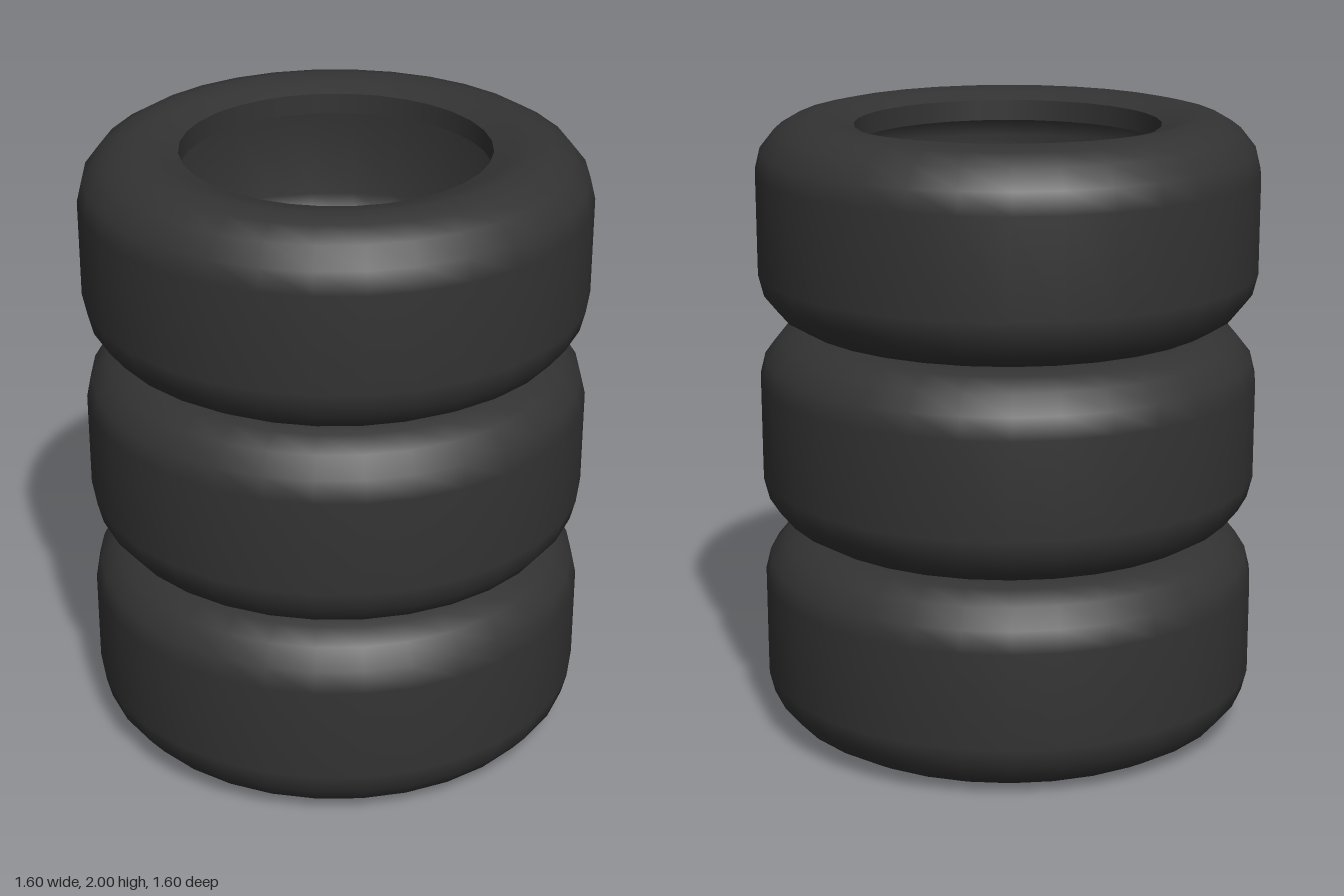
import * as THREE from 'three';

const SIDES = 32;
const HEIGHT = 2 / 3; // height of one tyre
const rubber = new THREE.MeshStandardMaterial({ color: 0x333333 });

// Lower halves of the cross-section, as [radius, y]
const outerHalf = [[0.485, 0.033], [0.55, 0.012], [0.61, 0], [0.675, 0.015], [0.735, 0.05], [0.783, 0.11], [0.8, 0.178]];
const linerHalf = [[0.485, 0.1], [0.57, 0.075], [0.64, 0.085], [0.7, 0.125], [0.73, 0.19]];

// Adds the upper half by mirroring about mid height; runs from bottom to top
function mirrored(half) {
  return [...half, ...half.map(([r, y]) => [r, HEIGHT - y]).reverse()];
}

function ring(name, profile) {
  const points = profile.map(([r, y]) => new THREE.Vector2(r, y));
  const mesh = new THREE.Mesh(new THREE.LatheGeometry(points, SIDES), rubber);
  mesh.name = name;
  return mesh;
}

function createTyre() {
  const tyre = new THREE.Group();
  const rimY = outerHalf[0][1];
  const lipY = linerHalf[0][1];
  const r = outerHalf[0][0];

  // Tread and side walls, rounded at the shoulders and dished towards the hole
  tyre.add(ring('treadAndSidewalls', mirrored(outerHalf)));

  // Hollow inside, wound to face the axis
  tyre.add(ring('innerLiner', mirrored(linerHalf).reverse()));

  // Upright bands around the two holes
  tyre.add(ring('lowerBead', [[r, lipY], [r, rimY]]));
  tyre.add(ring('upperBead', [[r, HEIGHT - rimY], [r, HEIGHT - lipY]]));
  return tyre;
}

export function createModel() {
  const stack = new THREE.Group();
  stack.name = 'tyreStack';
  ['bottomTyre', 'middleTyre', 'topTyre'].forEach((name, i) => {
    const tyre = createTyre();
    tyre.name = name;
    tyre.position.y = i * HEIGHT;
    stack.add(tyre);
  });
  return stack;
}
